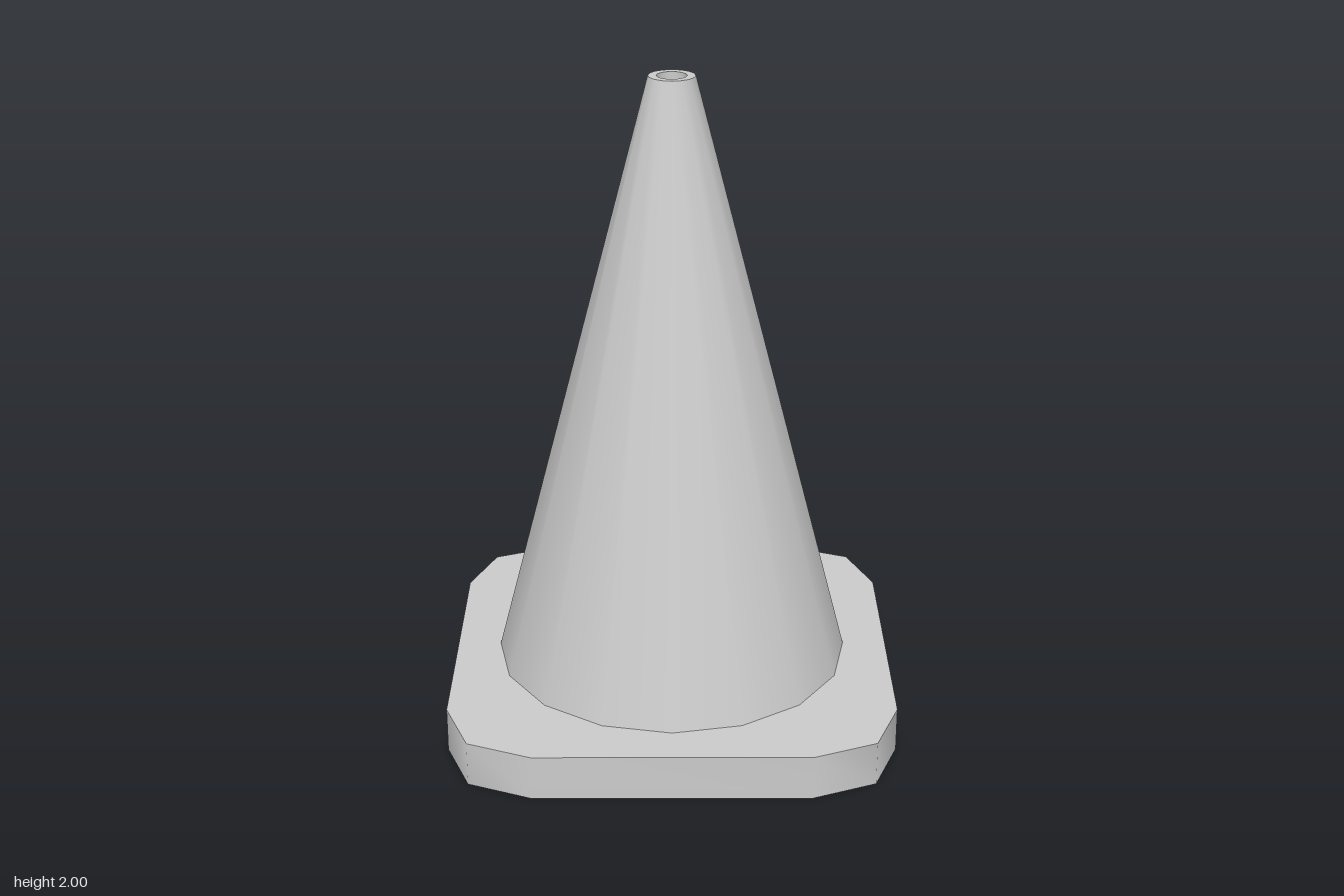
import * as THREE from 'three';
import { toCreasedNormals } from 'three/addons/utils/BufferGeometryUtils.js';

const BASE_HEIGHT = 0.14;
const CREASE = 1; // radians: keeps rims sharp, smooths the sides

export function createModel() {
  const group = new THREE.Group();
  const material = new THREE.MeshStandardMaterial({ color: 0xcccccc });

  const add = (name, geometry) => {
    const mesh = new THREE.Mesh(toCreasedNormals(geometry, CREASE), material);
    mesh.name = name;
    group.add(mesh);
  };

  // Square foot with two-step cut corners: one corner turned four times
  const corner = [[0.685, 0.415], [0.608, 0.608], [0.415, 0.685]];
  const outline = [];
  for (let i = 0; i < 4; i++) {
    for (const [x, y] of corner) {
      outline.push(new THREE.Vector2(x, y).rotateAround(new THREE.Vector2(), i * Math.PI / 2));
    }
  }
  const base = new THREE.ExtrudeGeometry(new THREE.Shape(outline), { depth: BASE_HEIGHT, bevelEnabled: false });
  base.rotateX(-Math.PI / 2);
  add('base', base);

  // Tapered body with a flat rim and a shallow recess in the tip
  const profile = [
    [0.55, BASE_HEIGHT], [0.07, 2], [0.045, 2], [0.045, 1.97], [0, 1.97],
  ].map(([r, y]) => new THREE.Vector2(r, y));
  add('cone', new THREE.LatheGeometry(profile, 16));

  return group;
}
